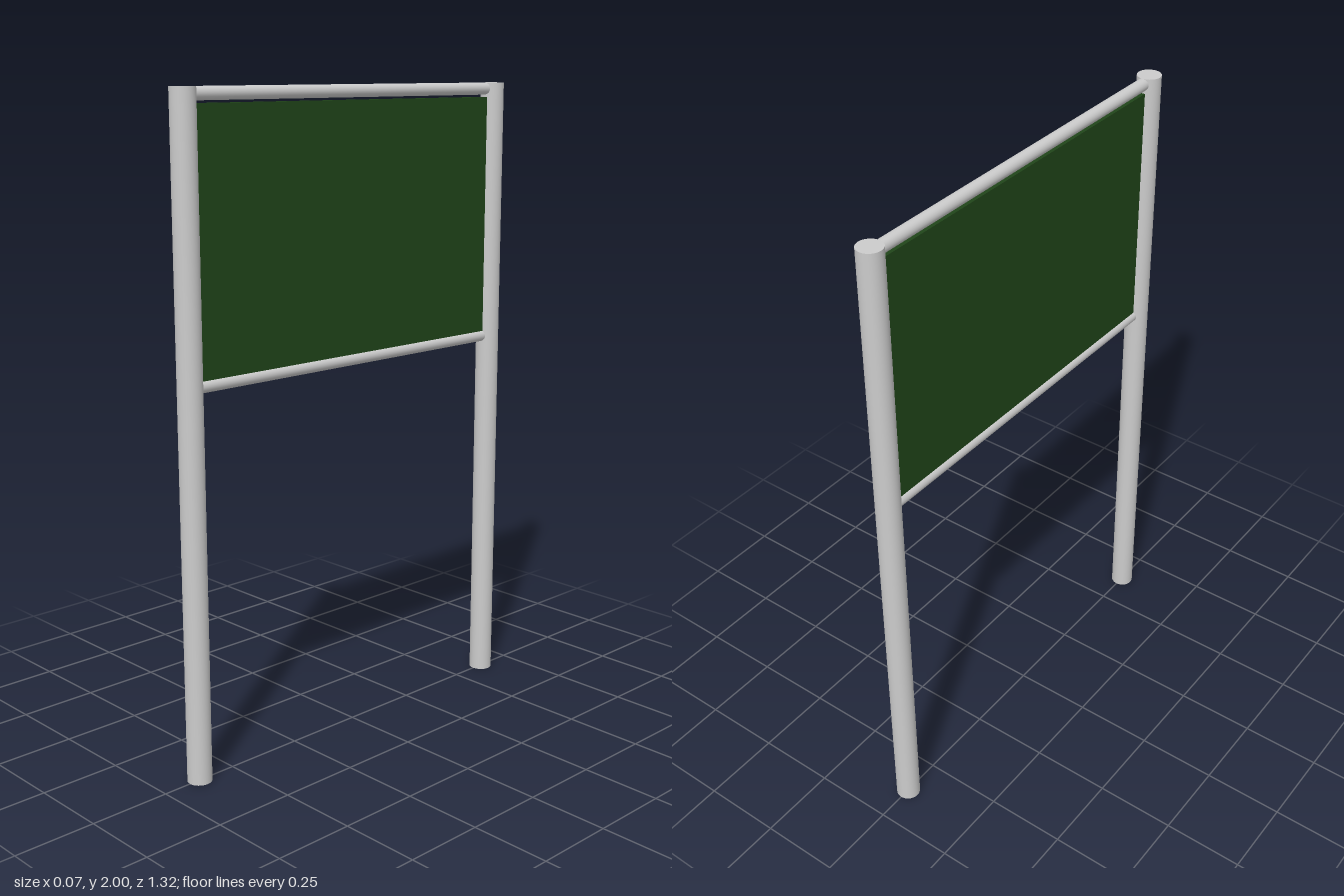
import * as THREE from 'three';

export function createModel() {
  const group = new THREE.Group();
  const metal = new THREE.MeshStandardMaterial({ color: 0xcccccc });
  const green = new THREE.MeshStandardMaterial({ color: 0x204519 });

  const POST_R = 0.037, POST_Z = 0.624, RAIL_R = 0.019;

  const add = (name, geometry, material, y, z = 0) => {
    const mesh = new THREE.Mesh(geometry, material);
    mesh.name = name;
    mesh.position.set(0, y, z);
    group.add(mesh);
    return mesh;
  };

  // Two upright posts
  const postGeo = new THREE.CylinderGeometry(POST_R, POST_R, 2, 32);
  add('frontPost', postGeo, metal, 1, POST_Z);
  add('backPost', postGeo, metal, 1, -POST_Z);

  // Horizontal rails running between the posts
  const railGeo = new THREE.CylinderGeometry(RAIL_R, RAIL_R, 2 * (POST_Z - 0.02), 24);
  railGeo.rotateX(Math.PI / 2);
  add('topRail', railGeo, metal, 1.981);
  add('bottomRail', railGeo, metal, 1.181);

  // Board: rests on the bottom rail, with a narrow gap under the top rail
  const bottom = 1.18, top = 1.955;
  add('boardPanel', new THREE.BoxGeometry(0.02, top - bottom, 2 * (POST_Z - 0.03)),
    green, (top + bottom) / 2);

  return group;
}
